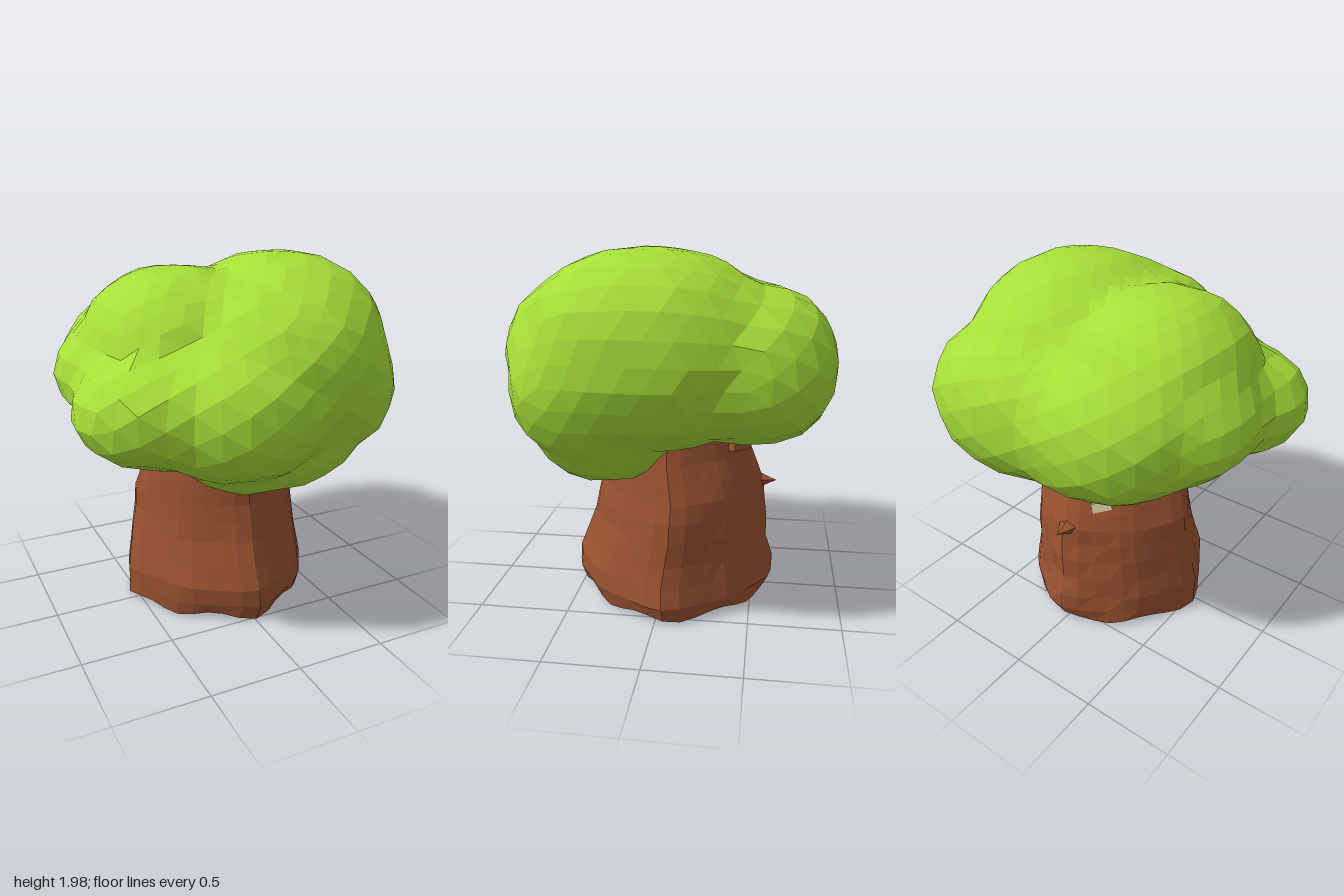
import * as THREE from 'three';

const bark = new THREE.MeshStandardMaterial({ color: 0x9a5230, flatShading: true, side: THREE.DoubleSide });
const leaf = new THREE.MeshStandardMaterial({ color: 0xa6de38, flatShading: true });
const eyeWhite = new THREE.MeshStandardMaterial({ color: 0xd8cba4, flatShading: true });

// Open tube through rounded-diamond rings; each row is [y, xMin, xMax, zMin, zMax]
function loft(rows, seg, power, shape) {
  const pos = [], index = [];
  rows.forEach(([y, x0, x1, z0, z1], j) => {
    for (let i = 0; i < seg; i++) {
      const a = (i / seg) * Math.PI * 2;
      const c = Math.cos(a), s = Math.sin(a);
      const r = 1 / Math.pow(Math.abs(c) ** power + Math.abs(s) ** power, 1 / power);
      const v = new THREE.Vector3((x0 + x1) / 2 + ((x1 - x0) / 2) * c * r, y, (z0 + z1) / 2 + ((z1 - z0) / 2) * s * r);
      shape(v, a, j);
      pos.push(v.x, v.y, v.z);
      if (j === rows.length - 1) continue;
      const p = j * seg + i, q = j * seg + ((i + 1) % seg);
      if ((i + j) % 2) index.push(p, p + seg, q + seg, p, q + seg, q);
      else index.push(p, p + seg, q, q, p + seg, q + seg);
    }
  });
  const g = new THREE.BufferGeometry();
  g.setAttribute('position', new THREE.Float32BufferAttribute(pos, 3));
  g.setIndex(index);
  g.computeVertexNormals();
  return g;
}

// Sphere whose vertices are pulled onto the outer skin of merged lobes [x, y, z, rx, ry, rz]
function lobedBlob(core, lobes, detail, floor) {
  const power = 2.2, sharpness = 26;
  const inside = (p) => {
    let sum = 0;
    for (const [x, y, z, rx, ry, rz] of lobes) {
      const d = (Math.abs((p.x - x) / rx) ** power + Math.abs((p.y - y) / ry) ** power + Math.abs((p.z - z) / rz) ** power) ** (1 / power);
      sum += Math.exp(sharpness * (1 - d));
    }
    return sum > 1;
  };
  const g = new THREE.IcosahedronGeometry(1, detail);
  const pos = g.attributes.position;
  const dir = new THREE.Vector3(), p = new THREE.Vector3();
  for (let i = 0; i < pos.count; i++) {
    dir.fromBufferAttribute(pos, i).normalize();
    const at = (t) => p.copy(core).addScaledVector(dir, t);
    let far = 1.4;
    while (far > 0.1 && !inside(at(far))) far -= 0.02;
    let near = far;
    far += 0.02;
    for (let k = 0; k < 10; k++) {
      const mid = (near + far) / 2;
      if (inside(at(mid))) near = mid;
      else far = mid;
    }
    at(near);
    // Slight unevenness of the clipped surface
    p.addScaledVector(dir, 0.007 * Math.sin(p.x * 17 + p.z * 11) * Math.sin(p.y * 19 - p.z * 7));
    pos.setXYZ(i, p.x, Math.max(p.y, floor + 0.015 * Math.sin(p.x * 9)), p.z);
  }
  g.computeVertexNormals();
  return g;
}

function add(group, name, geometry, material) {
  const m = new THREE.Mesh(geometry, material);
  m.name = name;
  group.add(m);
  return m;
}

export function createModel() {
  const model = new THREE.Group();
  model.name = 'tree';

  // Trunk: hollow, with a flared root rim and vertical bark ridges
  const trunkRows = [
    [0.025, -0.54, 0.56, -0.59, 0.5], [0.1, -0.54, 0.58, -0.61, 0.53], [0.2, -0.54, 0.56, -0.6, 0.53],
    [0.32, -0.52, 0.54, -0.58, 0.48], [0.45, -0.5, 0.53, -0.57, 0.43], [0.56, -0.48, 0.52, -0.56, 0.41],
    [0.66, -0.47, 0.5, -0.55, 0.39], [0.76, -0.44, 0.47, -0.52, 0.39], [0.86, -0.41, 0.44, -0.48, 0.38],
    [0.97, -0.39, 0.41, -0.46, 0.36], [1.1, -0.34, 0.34, -0.4, 0.32]
  ];
  add(model, 'trunk', loft(trunkRows, 36, 1.55, (v, a, j) => {
    const low = Math.max(0, 1 - v.y / 0.5);
    const ripple = 1 + (0.01 + 0.01 * low) * Math.cos(a * 8) + 0.005 * Math.sin(a * 5 + j * 1.7);
    v.x *= ripple;
    v.z *= ripple;
    if (j === 0) v.y += 0.018 * Math.sin(a * 7);
    // Moustache folds below the nose
    if (v.z < -0.3 && v.y < 0.6) v.z += 0.008 * Math.sin((v.y + Math.abs(v.x) * 0.8) * 22);
  }), bark);

  // Face on the back of the trunk
  const nose = add(model, 'nose', new THREE.ConeGeometry(0.085, 0.14, 5).rotateX(-Math.PI / 2), bark);
  nose.position.set(0, 0.66, -0.56);
  nose.scale.set(1, 0.75, 1);
  for (const side of [-1, 1]) {
    const eye = add(model, side < 0 ? 'rightEye' : 'leftEye', new THREE.BoxGeometry(0.11, 0.055, 0.05), eyeWhite);
    eye.position.set(side * 0.15, 0.8, -0.415);
    eye.rotation.set(0.25, -side * 0.55, side * 0.4);
    const brow = add(model, side < 0 ? 'rightBrow' : 'leftBrow', new THREE.BoxGeometry(0.17, 0.05, 0.09), bark);
    brow.position.set(side * 0.15, 0.91, -0.4);
    brow.rotation.set(0, -side * 0.5, side * 0.15);
  }

  // Foliage: merged lobes, hanging lower at the front
  const lobes = [
    [0.35, 1.47, 0.05, 0.55, 0.52, 0.66],   // main peak
    [0.18, 1.42, 0.19, 0.58, 0.47, 0.66],   // main front mass
    [-0.25, 1.41, -0.02, 0.52, 0.52, 0.56], // left peak
    [-0.4, 1.35, -0.15, 0.47, 0.3, 0.5],    // left flank
    [-0.4, 1.27, 0.33, 0.52, 0.3, 0.42],    // low front left
    [-0.1, 1.26, 0.4, 0.49, 0.38, 0.52],    // front
    [0.47, 1.3, 0.37, 0.37, 0.38, 0.38],    // front right
    [0.15, 1.08, 0.3, 0.56, 0.36, 0.4],     // hanging front
    [0.27, 1.39, -0.5, 0.52, 0.41, 0.42],   // back right shoulder
    [-0.15, 1.38, -0.4, 0.58, 0.41, 0.48]   // back
  ];
  add(model, 'foliage', lobedBlob(new THREE.Vector3(0, 1.35, 0), lobes, 7, 0.775), leaf);

  return model;
}
